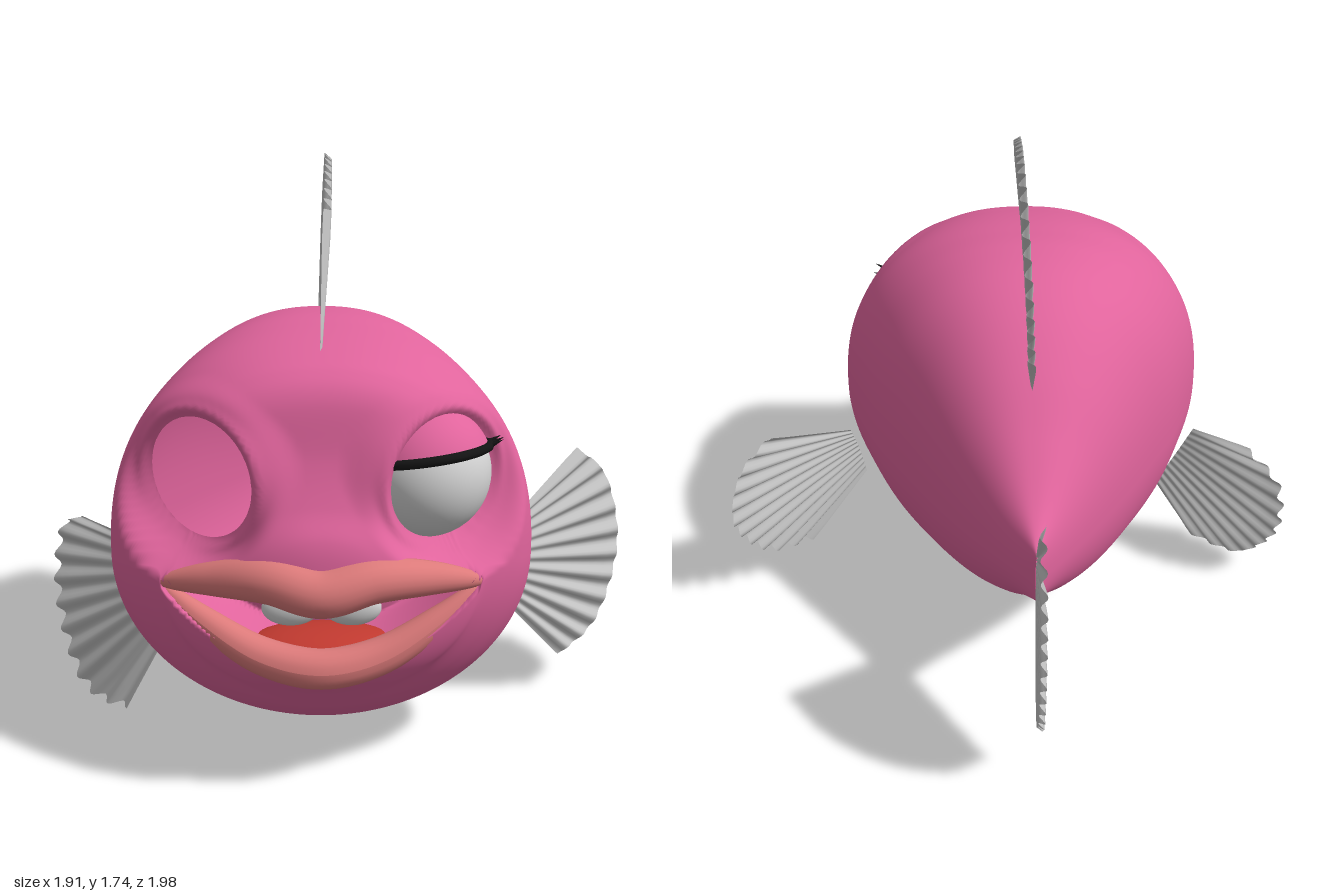
import * as THREE from 'three';

const mat = (name, color, double) => {
  const m = new THREE.MeshStandardMaterial({ color });
  m.name = name;
  if (double) m.side = THREE.DoubleSide;
  return m;
};
const V = (p) => new THREE.Vector3(...p);
const smooth = THREE.MathUtils.smoothstep;

// Eye socket frame on the +x side; the other side is mirrored
const EYE = V([0.34, 0.92, 0.69]);
const OUT = V([0.62, 0, 0.78]).normalize();
const SIDE = V([OUT.z, 0, -OUT.x]);
const EYE_W = 0.19, EYE_H = 0.175;

// Flattens the face round the sockets, opens them, and hollows the mouth.
// Returns true when the point lies inside a socket opening.
function sculpt(p) {
  const s = p.x < 0 ? -1 : 1;
  p.x *= s;
  const q = p.clone().sub(EYE);
  let d = q.dot(OUT), u = q.dot(SIDE) / EYE_W, v = q.y / EYE_H;
  const rho = Math.hypot(u, v);
  let open = false;
  if (d > -0.2 && rho < 1.6) {
    const w = 1 - smooth(rho, 1.05, 1.6);
    d *= 1 - w;
    d += 0.014 * Math.exp(-(((rho - 1.14) / 0.09) ** 2));
    open = rho < 1;
    if (open) {
      u /= Math.max(rho, 1e-4);
      v /= Math.max(rho, 1e-4);
    }
    p.copy(EYE).addScaledVector(SIDE, u * EYE_W).addScaledVector(OUT, d);
    p.y += v * EYE_H;
  }
  if (p.z > 0.7) {
    const low = 0.4 + 0.2 * (p.x / 0.43) ** 2;
    const inside = Math.min(p.y - low, 0.64 - p.y);
    p.z -= 0.28 * smooth(inside, 0, 0.04);
  }
  p.x *= s;
  return open;
}

// Body sections: z, top, bottom, half width
const SECTIONS = [
  [-0.585, 0.745, 0.565, 0.004], [-0.45, 0.84, 0.455, 0.11], [-0.3, 0.98, 0.315, 0.22],
  [-0.15, 1.125, 0.195, 0.325], [0, 1.235, 0.11, 0.42], [0.15, 1.295, 0.06, 0.51],
  [0.3, 1.31, 0.045, 0.575], [0.42, 1.3, 0.055, 0.617], [0.52, 1.285, 0.085, 0.627],
  [0.62, 1.26, 0.14, 0.59], [0.7, 1.23, 0.2, 0.53], [0.76, 1.16, 0.26, 0.47],
  [0.8, 1.0, 0.3, 0.42], [0.85, 0.88, 0.345, 0.31], [0.9, 0.8, 0.4, 0.19],
  [0.92, 0.72, 0.49, 0.08], [0.925, 0.62, 0.62, 0],
];

function bodyGeometry(rings = 190, around = 168) {
  const heights = new THREE.CatmullRomCurve3(SECTIONS.map(([z, t, b]) => V([z, t, b])), false, 'catmullrom');
  const widths = new THREE.CatmullRomCurve3(SECTIONS.map(([z, , , w]) => V([z, w, 0])), false, 'catmullrom');
  const pos = [], idx = [], open = [];
  for (let i = 0; i <= rings; i++) {
    const { x: z, y: top, z: bot } = heights.getPoint(i / rings);
    const hw = Math.max(0, widths.getPoint(i / rings).y);
    const mid = bot + 0.45 * (top - bot);
    for (let j = 0; j < around; j++) {
      const a = (j / around) * Math.PI * 2, c = Math.cos(a), s = Math.sin(a);
      const e = s > 0 ? 2 / 2.3 : 1;
      const p = V([
        hw * Math.sign(c) * Math.abs(c) ** e,
        mid + (s > 0 ? (top - mid) * s ** e : (mid - bot) * s), z]);
      open.push(sculpt(p));
      pos.push(p.x, p.y, p.z);
    }
  }
  const tri = (a, b, c) => { if (!(open[a] && open[b] && open[c])) idx.push(a, b, c); };
  for (let i = 0; i < rings; i++) {
    for (let j = 0; j < around; j++) {
      const k = (j + 1) % around, r = i * around, n = r + around;
      tri(r + j, r + k, n + j);
      tri(r + k, n + k, n + j);
    }
  }
  const g = new THREE.BufferGeometry();
  g.setAttribute('position', new THREE.Float32BufferAttribute(pos, 3));
  g.setIndex(idx);
  g.computeVertexNormals();
  return g;
}

// Tapered lip: half a path is given and mirrored
function lipGeometry(half, radius) {
  const pts = [...half, ...half.slice(0, -1).reverse().map(([x, y, z]) => [-x, y, z])];
  const path = new THREE.CatmullRomCurve3(pts.map(V));
  const seg = 64, sides = 20;
  const g = new THREE.TubeGeometry(path, seg, 1, sides);
  const p = g.attributes.position;
  for (let i = 0; i <= seg; i++) {
    const c = path.getPointAt(i / seg);
    const r = 0.008 + (radius - 0.008) * Math.abs(Math.sin((Math.PI * i) / seg)) ** 0.6;
    for (let j = 0; j <= sides; j++) {
      const k = i * (sides + 1) + j;
      const q = new THREE.Vector3().fromBufferAttribute(p, k).sub(c).multiplyScalar(r).add(c);
      p.setXYZ(k, q.x, q.y, q.z);
    }
  }
  g.computeVertexNormals();
  return g;
}

// Pleated fan between a base curve and a scalloped tip curve
function finGeometry(base, tip, ribs, depth) {
  const b = new THREE.CatmullRomCurve3(base.map(V)), t = new THREE.CatmullRomCurve3(tip.map(V));
  const along = b.getPoint(1).sub(b.getPoint(0));
  const normal = t.getPoint(0.5).sub(b.getPoint(0.5)).cross(along).normalize();
  const nu = ribs * 8, nv = 10, pos = [], idx = [];
  for (let i = 0; i <= nu; i++) {
    const u = i / nu, wave = Math.cos(u * ribs * Math.PI * 2);
    const from = b.getPointAt(u), to = t.getPointAt(u);
    for (let j = 0; j <= nv; j++) {
      const v = j / nv;
      const p = from.clone().lerp(to, v * (1 + 0.018 * wave));
      p.addScaledVector(normal, depth * wave * Math.min(1, 0.2 + v));
      pos.push(p.x, p.y, p.z);
      if (i < nu && j < nv) {
        const k = i * (nv + 1) + j, m = k + nv + 1;
        idx.push(k, m, k + 1, m, m + 1, k + 1);
      }
    }
  }
  const g = new THREE.BufferGeometry();
  g.setAttribute('position', new THREE.Float32BufferAttribute(pos, 3));
  g.setIndex(idx);
  g.computeVertexNormals();
  return g;
}

export function createModel() {
  const pink = mat('skin pink', 0xe0649c, true);
  const coral = mat('lip coral', 0xdc7a7a);
  const grey = mat('fin grey', 0xc0c0c0, true);
  const white = mat('eye and tooth white', 0xd4d4d4);
  const red = mat('tongue red', 0xc23a30);
  const black = mat('lash black', 0x141414);

  const model = new THREE.Group();
  model.name = 'fish';
  const head = new THREE.Group();
  head.name = 'bodyAndFace';
  head.position.x = -0.06;
  model.add(head);
  const add = (parent, name, geo, material) => {
    const m = new THREE.Mesh(geo, material);
    m.name = name;
    parent.add(m);
    return m;
  };

  add(head, 'body', bodyGeometry(), pink);

  // Mouth
  add(head, 'upperLip', lipGeometry([[-0.46, 0.63, 0.75], [-0.3, 0.665, 0.82], [-0.14, 0.685, 0.89], [0, 0.66, 0.92]], 0.068), coral);
  add(head, 'lowerLip', lipGeometry([[-0.45, 0.615, 0.75], [-0.33, 0.525, 0.79], [-0.17, 0.435, 0.83], [0, 0.405, 0.855]], 0.058), coral);
  for (const s of [-1, 1]) {
    const tooth = add(head, s < 0 ? 'rightTooth' : 'leftTooth', new THREE.SphereGeometry(1, 24, 16), white);
    tooth.scale.set(0.082, 0.052, 0.03);
    tooth.position.set(s * 0.086, 0.585, 0.84);
  }
  const tongue = add(head, 'tongue', new THREE.SphereGeometry(1, 32, 16), red);
  tongue.scale.set(0.22, 0.05, 0.12);
  tongue.position.set(0, 0.43, 0.74);

  // Left eye with drooping lid and lashes; the right socket is empty
  const eye = new THREE.Group();
  eye.name = 'leftEye';
  eye.position.copy(EYE).addScaledVector(OUT, -0.07);
  eye.rotation.y = Math.atan2(OUT.x, OUT.z);
  head.add(eye);
  add(eye, 'eyeball', new THREE.SphereGeometry(0.19, 40, 28), white);
  const lid = new THREE.Group();
  lid.name = 'upperLid';
  lid.rotation.x = -0.21;
  eye.add(lid);
  const R = 0.198, theta = 1.31;
  add(lid, 'lidShell', new THREE.SphereGeometry(R, 40, 16, 0, Math.PI * 2, 0, theta), pink);
  const edge = R * Math.sin(theta), edgeY = R * Math.cos(theta);
  const lash = add(lid, 'lashLine', new THREE.TorusGeometry(edge, 0.014, 8, 40, Math.PI).rotateX(Math.PI / 2), black);
  lash.position.y = edgeY;
  for (let i = 0; i < 4; i++) {
    const a = 0.3 + i * 0.2;
    const hair = add(lid, 'lash', new THREE.ConeGeometry(0.01, 0.05, 6), black);
    const dir = V([Math.cos(a), 0.35, Math.sin(a)]).normalize();
    hair.quaternion.setFromUnitVectors(V([0, 1, 0]), dir);
    hair.position.set(Math.cos(a) * edge, edgeY, Math.sin(a) * edge).addScaledVector(dir, 0.022);
  }

  // Fins
  add(model, 'dorsalFin', finGeometry(
    [[-0.06, 1.24, 0.62], [-0.06, 1.26, 0.3], [-0.06, 1.2, 0], [-0.06, 1.09, -0.2]],
    [[-0.04, 1.63, 0.44], [-0.037, 1.7, 0.25], [-0.035, 1.74, 0.02], [-0.037, 1.7, -0.14],
      [-0.042, 1.6, -0.27], [-0.047, 1.48, -0.32], [-0.055, 1.25, -0.3]], 19, 0.012), grey);
  add(model, 'tailFin', finGeometry(
    [[-0.06, 0.75, -0.575], [-0.06, 0.655, -0.575], [-0.06, 0.56, -0.575]],
    [[-0.06, 1.12, -0.85], [-0.06, 0.95, -0.95], [-0.06, 0.75, -0.985], [-0.06, 0.55, -0.97],
      [-0.06, 0.38, -0.92], [-0.06, 0.24, -0.82]], 14, 0.01), grey);
  add(model, 'leftSideFin', finGeometry(
    [[0.55, 0.62, 0.23], [0.53, 0.5, 0.28], [0.51, 0.38, 0.3]],
    [[0.79, 0.78, 0], [0.89, 0.68, -0.055], [0.945, 0.47, -0.05], [0.91, 0.3, 0.02],
      [0.84, 0.19, 0.1], [0.72, 0.14, 0.21]], 11, 0.012), grey);
  add(model, 'rightSideFin', finGeometry(
    [[-0.66, 0.57, 0.25], [-0.61, 0.42, 0.29], [-0.55, 0.27, 0.32]],
    [[-0.83, 0.59, 0.1], [-0.92, 0.52, 0.01], [-0.95, 0.33, 0.01], [-0.92, 0.17, 0.08],
      [-0.85, 0.04, 0.18], [-0.77, 0.012, 0.26], [-0.68, 0.02, 0.33]], 11, 0.012), grey);

  return model;
}
